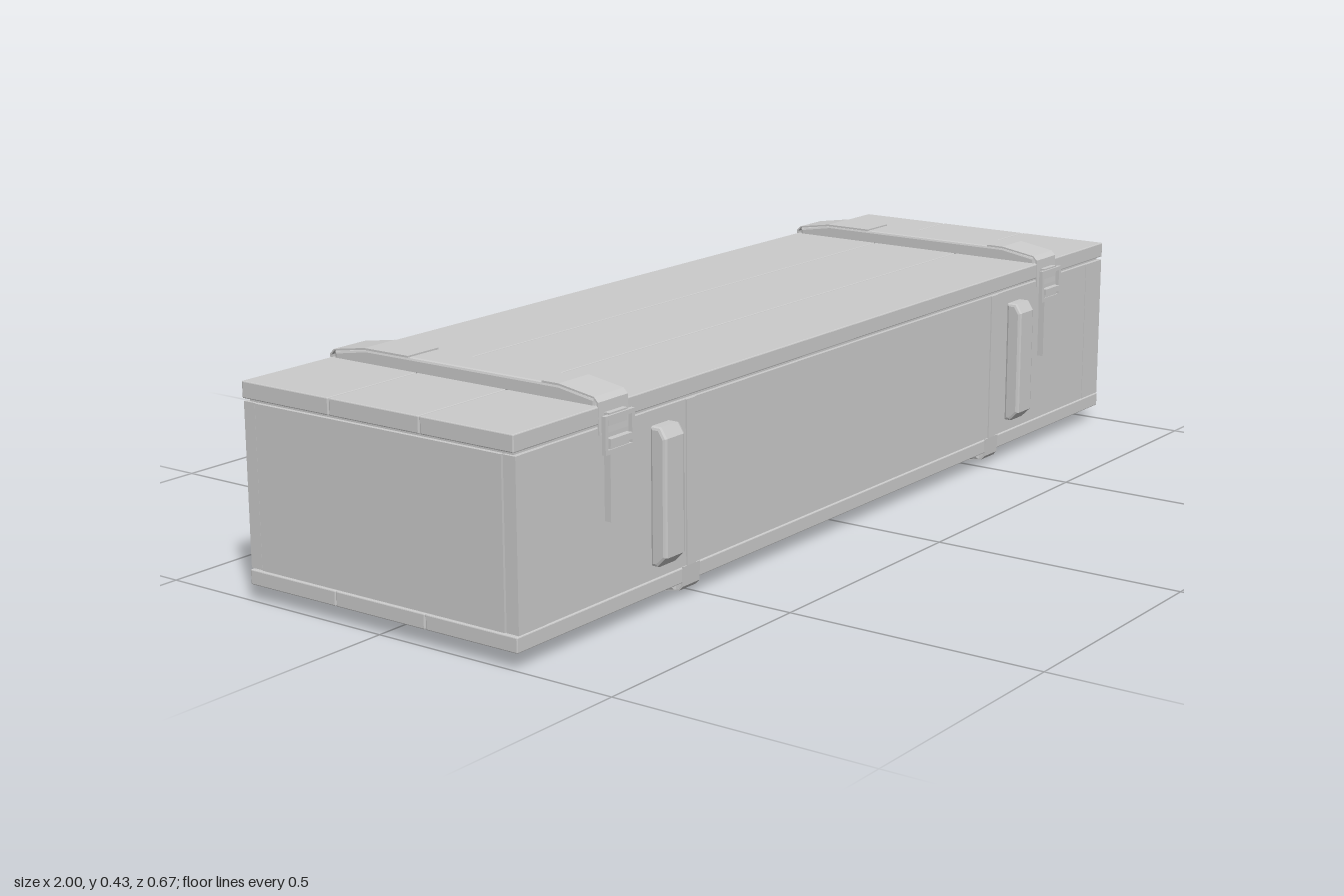
import * as THREE from 'three';
import { RoundedBoxGeometry } from 'three/addons/geometries/RoundedBoxGeometry.js';

const material = new THREE.MeshStandardMaterial({ color: 0xcccccc, flatShading: true });

export function createModel() {
  const crate = new THREE.Group();
  crate.name = 'crate';

  const add = (name, geometry, x = 0, y = 0, z = 0) => {
    const mesh = new THREE.Mesh(geometry, material);
    mesh.name = name;
    mesh.position.set(x, y, z);
    crate.add(mesh);
    return mesh;
  };
  const box = (name, w, h, d, x, y, z) => add(name, new THREE.BoxGeometry(w, h, d), x, y, z);

  // Side profile given as [z, y] points, extruded along x and centred on x
  const profile = (name, points, width, x, bevel = 0) => {
    const shape = new THREE.Shape(points.map(([z, y]) => new THREE.Vector2(z, y)));
    const depth = width - 2 * bevel;
    const geometry = new THREE.ExtrudeGeometry(shape, {
      depth, bevelEnabled: bevel > 0, bevelThickness: bevel,
      bevelSize: bevel, bevelOffset: -bevel, bevelSegments: 2,
    });
    geometry.translate(0, 0, -depth / 2);
    geometry.rotateY(-Math.PI / 2);
    return add(name, geometry, x);
  };
  const flipZ = (points) => points.map(([z, y]) => [-z, y]);
  // Symmetric outline from its +z half
  const symmetric = (half) => [...half, ...flipZ(half).reverse()];

  // Body: side boards with end boards and an inner core
  box('innerCore', 1.98, 0.33, 0.596, 0, 0.212, 0);
  for (const s of [-1, 1]) {
    box('sideBoard', 1.992, 0.302, 0.025, 0, 0.211, s * 0.293);
    box('endBoard', 0.025, 0.302, 0.556, s * 0.9855, 0.211, 0);
    for (const e of [-1, 1]) box('cornerPlate', 0.07, 0.302, 0.002, e * 0.961, 0.211, s * 0.3055);
  }

  // Lid and floor planks
  const planks = [[-0.306, -0.101], [-0.099, 0.104], [0.106, 0.306]];
  for (const [a, b] of planks) {
    add('lidPlank', new RoundedBoxGeometry(2, 0.031, b - a, 1, 0.002), 0, 0.3835, (a + b) / 2);
    add('floorPlank', new RoundedBoxGeometry(2, 0.028, b - a, 1, 0.002), 0, 0.044, (a + b) / 2);
  }

  const lidBatten = symmetric([[0.298, 0.394], [0.298, 0.411], [0.22, 0.424]]);
  const floorBatten = symmetric([[0.298, 0.036], [0.298, 0.019], [0.22, 0.003]]);
  // Bent sheet metal over the batten ends
  const lidWrap = (start, end) => [
    [start, 0.427], [0.222, 0.427], [0.297, 0.415], [0.306, 0.406], [0.308, 0.35],
    [0.305, 0.35], [0.303, 0.404], [0.296, 0.412], [0.222, 0.4235], [start, 0.4235],
  ];
  const floorWrap = [
    [0.222, 0], [0.299, 0.015], [0.306, 0.023], [0.308, 0.06],
    [0.305, 0.06], [0.303, 0.025], [0.297, 0.018], [0.222, 0.0035],
  ];
  const cleat = [
    [0.303, 0.084], [0.318, 0.084], [0.337, 0.103],
    [0.337, 0.316], [0.325, 0.335], [0.303, 0.335],
  ];

  for (const side of [-1, 1]) {
    const latchX = side * 0.743;
    const bandX = side * 0.527;

    // Lid batten, its metal ends, and floor batten
    profile('lidBatten', lidBatten, 0.076, latchX, 0.005);
    profile('lidBattenFrontCap', lidWrap(0.185), 0.08, latchX);
    profile('lidBattenBackCap', flipZ(lidWrap(0.118)), 0.08, latchX);
    profile('floorBatten', floorBatten, 0.08, bandX, 0.006);

    for (const z of [-1, 1]) {
      const face = (points) => (z > 0 ? points : flipZ(points));
      // Floor batten metal end and the narrow band rising up the side
      profile('floorBattenCap', face(floorWrap), 0.05, bandX);
      box('sideBand', 0.026, 0.302, 0.003, bandX, 0.211, z * 0.3065);
      // Gripping cleat
      profile('handCleat', face(cleat), 0.058, side * 0.612, 0.006);
    }

    // Front latch: base strap, wire loop and hooked lever
    box('latchStrap', 0.05, 0.14, 0.014, latchX, 0.268, 0.312);
    box('latchLever', 0.058, 0.012, 0.012, latchX, 0.338, 0.318);
    for (const e of [-1, 1]) box('latchLoopArm', 0.008, 0.065, 0.008, latchX + e * 0.036, 0.35, 0.317);
    for (const y of [0.321, 0.38]) box('latchLoopBar', 0.08, 0.008, 0.008, latchX, y, 0.317);
    box('latchCatch', 0.05, 0.022, 0.012, latchX, 0.376, 0.311);

    // Back hinge: knuckle and lower leaf
    const knuckle = add('hingeKnuckle', new THREE.CylinderGeometry(0.005, 0.005, 0.08, 10), latchX, 0.363, -0.309);
    knuckle.rotation.z = Math.PI / 2;
    box('hingeLeaf', 0.05, 0.16, 0.003, latchX, 0.28, -0.3065);
  }

  return crate;
}
